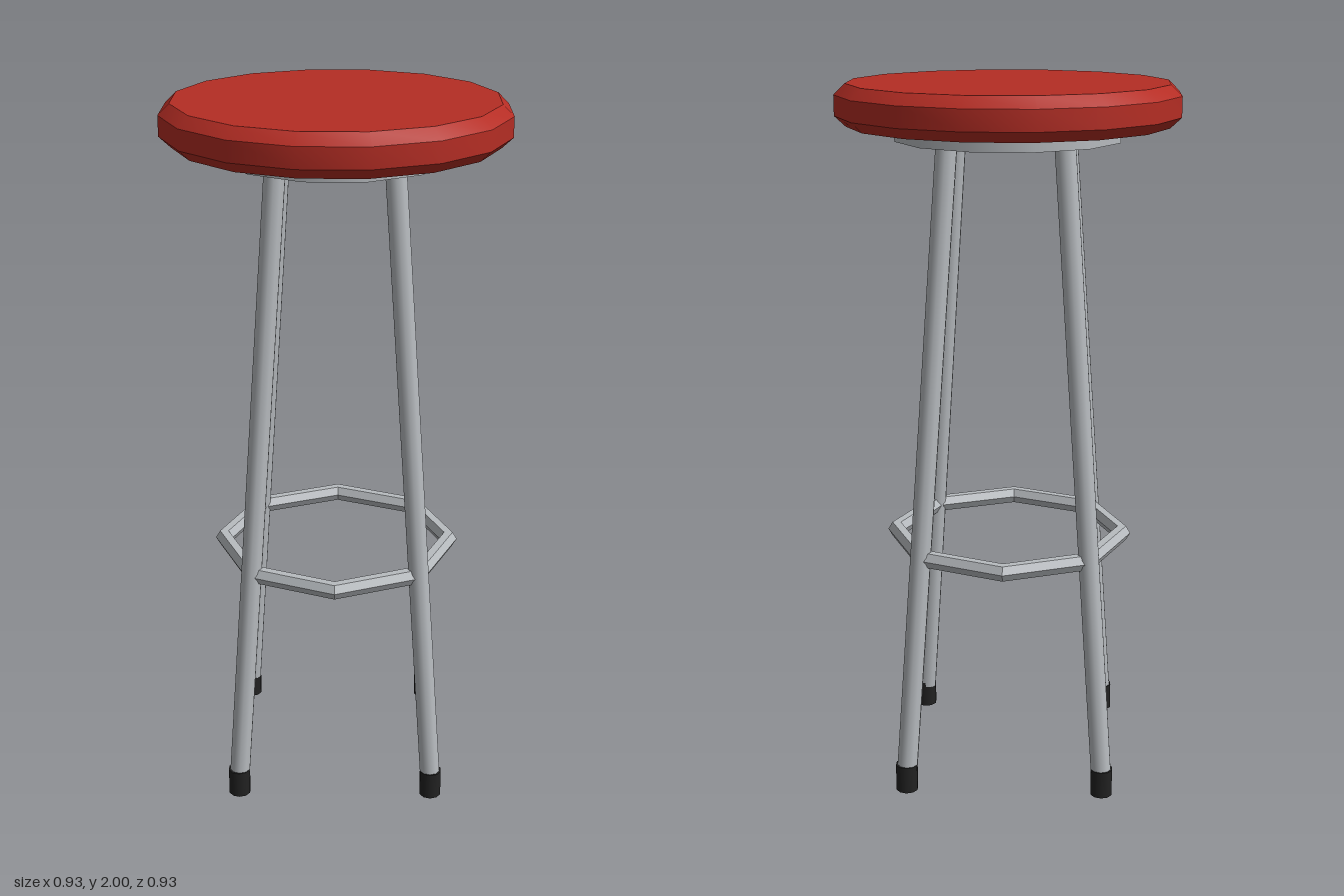
import * as THREE from 'three';
import { toCreasedNormals } from 'three/addons/utils/BufferGeometryUtils.js';

const red = new THREE.MeshStandardMaterial({ name: 'red vinyl', color: 0xb52d24 });
const metal = new THREE.MeshStandardMaterial({ name: 'grey metal', color: 0xb8bcc0 });
const rubber = new THREE.MeshStandardMaterial({ name: 'black rubber', color: 0x222222 });

const CREASE = Math.PI / 6;

function addMesh(parent, name, geometry, material) {
  const mesh = new THREE.Mesh(geometry, material);
  mesh.name = name;
  parent.add(mesh);
  return mesh;
}

export function createModel() {
  const stool = new THREE.Group();
  stool.name = 'stool';

  // Bevelled sixteen-sided cushion, with flats facing the axes
  const profile = [[0, 1.885], [0.445, 1.885], [0.476, 1.914], [0.476, 1.97], [0.445, 2], [0, 2]]
    .map(([r, y]) => new THREE.Vector2(r, y));
  const cushion = new THREE.LatheGeometry(profile, 16, Math.PI / 16);
  addMesh(stool, 'seat', toCreasedNormals(cushion, CREASE), red);

  // Mounting plate under the cushion
  const plate = new THREE.CylinderGeometry(0.317, 0.317, 0.04, 12).rotateY(Math.PI / 12);
  addMesh(stool, 'seatPlate', plate, metal).position.y = 1.865;

  // Eight-sided footrest ring running through the legs
  const ring = new THREE.TorusGeometry(0.332, 0.025, 6, 8).rotateX(Math.PI / 2);
  addMesh(stool, 'footrest', toCreasedNormals(ring, CREASE), metal).position.y = 0.7;

  // Four splayed legs with rubber feet
  const up = new THREE.Vector3(0, 1, 0);
  for (const sx of [1, -1]) {
    for (const sz of [1, -1]) {
      const corner = (sz > 0 ? 'front' : 'back') + (sx > 0 ? 'Left' : 'Right');
      const bottom = new THREE.Vector3(sx * 0.283, 0.03, sz * 0.283);
      const top = new THREE.Vector3(sx * 0.157, 1.86, sz * 0.157);
      const axis = top.clone().sub(bottom);
      const leg = addMesh(stool, corner + 'Leg',
        new THREE.CylinderGeometry(0.03, 0.03, axis.length(), 10), metal);
      leg.position.copy(bottom).add(top).multiplyScalar(0.5);
      leg.quaternion.setFromUnitVectors(up, axis.normalize());

      const foot = addMesh(stool, corner + 'Foot',
        new THREE.CylinderGeometry(0.032, 0.032, 0.08, 10), rubber);
      foot.position.set(sx * 0.282, 0.04, sz * 0.282);
    }
  }
  return stool;
}
